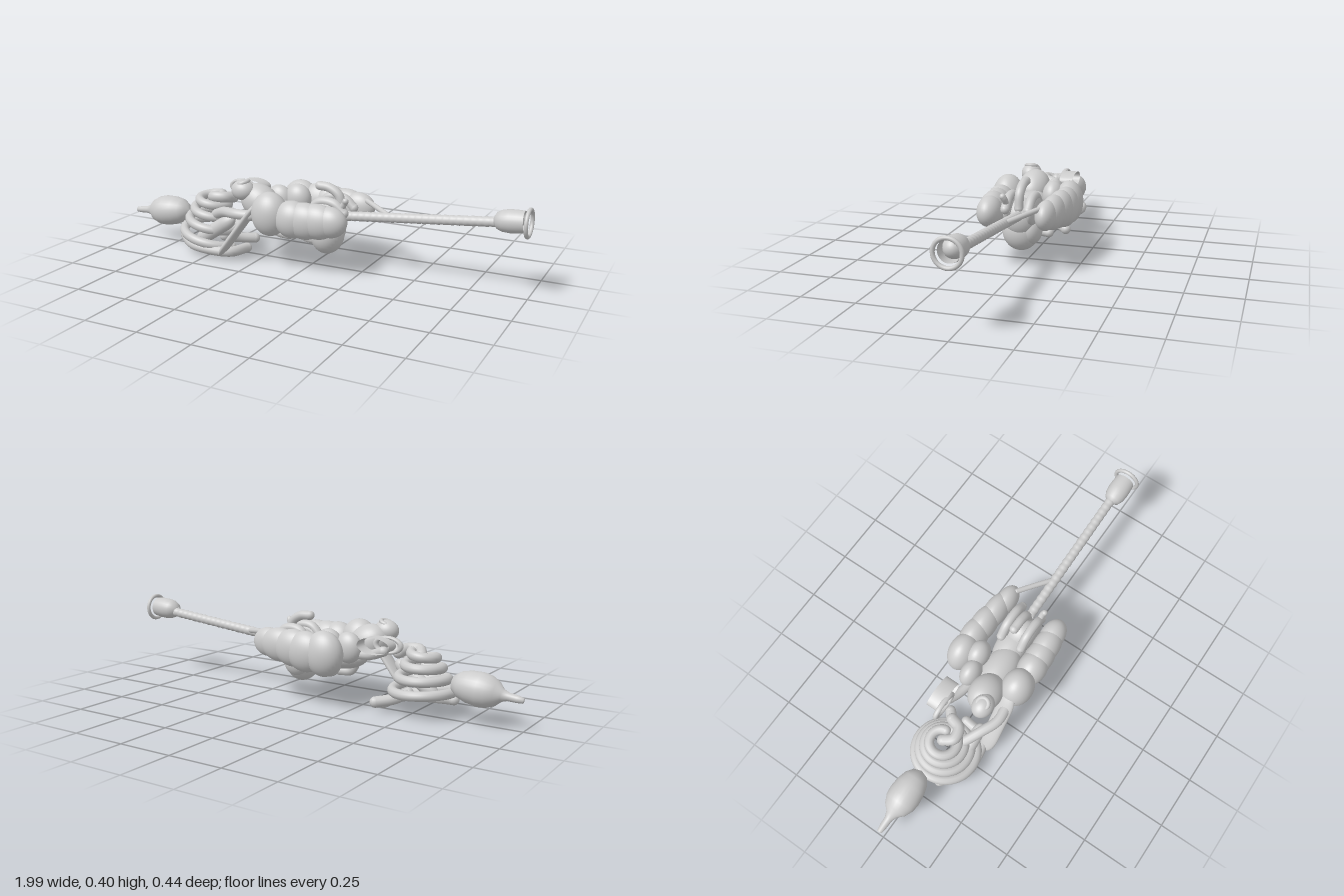
import * as THREE from 'three';

export function createModel() {
  const model = new THREE.Group();
  model.name = 'tangledCreature';
  const grey = new THREE.MeshStandardMaterial({ color: 0xcccccc, side: THREE.DoubleSide });
  grey.name = 'light grey';

  const V = (p) => new THREE.Vector3(...p);
  const add = (name, geometry, parent = model) => {
    const mesh = new THREE.Mesh(geometry, grey);
    mesh.name = name;
    parent.add(mesh);
    return mesh;
  };
  const blob = (name, pos, size, tilt = 0) => {
    const mesh = add(name, new THREE.SphereGeometry(1, 32, 20));
    mesh.position.set(...pos);
    mesh.scale.set(...size);
    mesh.rotation.z = tilt;
  };
  // Tube through points with rounded ends
  const limb = (name, points, r, segments = 40) => {
    const group = new THREE.Group();
    group.name = name;
    const curve = new THREE.CatmullRomCurve3(points.map(V));
    add(name + 'Tube', new THREE.TubeGeometry(curve, segments, r, 12), group);
    for (const p of [points[0], points[points.length - 1]])
      add(name + 'End', new THREE.SphereGeometry(r, 12, 10), group).position.set(...p);
    model.add(group);
  };
  // Lathe whose axis runs from a towards b; profile is [radius, distance]
  const turned = (name, profile, a, b) => {
    const mesh = add(name, new THREE.LatheGeometry(profile.map((p) => new THREE.Vector2(...p)), 28));
    mesh.position.set(...a);
    mesh.quaternion.setFromUnitVectors(new THREE.Vector3(0, 1, 0), V(b).sub(V(a)).normalize());
  };
  // Stretched capsule lying in a plane of constant z
  const paddle = (name, a, b, thick, wide) => {
    const dir = V(b).sub(V(a));
    const mesh = add(name, new THREE.CapsuleGeometry(1, 2, 8, 20));
    mesh.position.copy(V(a).add(V(b)).multiplyScalar(0.5));
    mesh.scale.set(thick, dir.length() / 4, wide);
    mesh.rotation.z = Math.atan2(-dir.x, dir.y);
  };

  // Long rod with faint ridges
  const rod = [];
  for (let i = 0; i <= 90; i++) rod.push([0.0215 + 0.0012 * Math.sin(i * 1.6), i * 0.0077]);
  turned('rod', rod, [0.17, 0.253, -0.005], [0.86, 0.32, -0.005]);

  // Cup, ball and ring at the rod tip
  turned('tipCup', [[0.018, 0], [0.036, 0.012], [0.046, 0.035], [0.05, 0.065], [0.049, 0.1], [0.046, 0.128]],
    [0.842, 0.327, 0], [0.98, 0.337, 0]);
  blob('tipBall', [0.91, 0.335, 0], [0.055, 0.044, 0.044]);
  const ring = add('tipRing', new THREE.TorusGeometry(0.057, 0.009, 12, 40));
  ring.position.set(0.985, 0.333, 0);
  ring.rotation.y = Math.PI / 2;

  // Pear-shaped bulb with a thin tail
  turned('tailBulb', [[0, 0], [0.012, 0.004], [0.016, 0.03], [0.018, 0.07], [0.028, 0.095], [0.053, 0.12], [0.069, 0.155],
    [0.074, 0.19], [0.069, 0.24], [0.057, 0.28], [0.035, 0.31], [0, 0.322]], [-1, 0.133, -0.003], [-0.68, 0.167, -0.003]);

  // Cone-shaped coil, narrowing as it rises
  const coil = [];
  for (let i = 0; i <= 70; i++) {
    const t = i / 70;
    const a = 0.4 + t * 7.8 * Math.PI;
    const r = 0.148 - 0.1 * t;
    coil.push([-0.535 + r * Math.cos(a), 0.063 + 0.212 * t ** 0.85 - 0.02 * (1 - t) * Math.cos(a), 0.01 + r * Math.sin(a)]);
  }
  limb('coil', coil, 0.022, 320);
  limb('coilTop', [[-0.53, 0.26, 0.01], [-0.5, 0.275, 0.05], [-0.45, 0.275, 0.04], [-0.43, 0.265, -0.01]], 0.026);
  limb('coilTail', [[-0.66, 0.07, 0.07], [-0.58, 0.05, 0.13], [-0.47, 0.04, 0.14], [-0.38, 0.034, 0.11], [-0.355, 0.026, 0.0]], 0.024);
  limb('innerLoop', [[-0.36, 0.05, -0.085], [-0.42, 0.06, -0.03], [-0.46, 0.08, 0.03]], 0.025);

  // Flat paddles crossing the coil
  paddle('longPaddle', [-0.42, 0.02, 0.145], [-0.2, 0.31, 0.145], 0.017, 0.04);
  paddle('shortPaddle', [-0.57, 0.06, 0.1], [-0.36, 0.2, 0.1], 0.034, 0.03);

  // Paired arms: a round shoulder running into a smoother forearm
  const chain = (name, lobes) => lobes.forEach(([x, y, z, rx, ry, rz], i) => blob(name + i, [x, y, z], [rx, ry, rz]));
  chain('frontArm', [[-0.145, 0.26, 0.143, 0.088, 0.102, 0.073], [-0.03, 0.25, 0.145, 0.085, 0.086, 0.067],
    [0.03, 0.25, 0.143, 0.1, 0.084, 0.064], [0.09, 0.254, 0.14, 0.1, 0.08, 0.061], [0.15, 0.258, 0.135, 0.08, 0.07, 0.056]]);
  chain('backArm', [[-0.14, 0.25, -0.155, 0.092, 0.102, 0.066], [-0.05, 0.25, -0.16, 0.1, 0.092, 0.061],
    [0.02, 0.258, -0.154, 0.1, 0.085, 0.058], [0.1, 0.262, -0.145, 0.1, 0.077, 0.053], [0.17, 0.265, -0.132, 0.08, 0.067, 0.047]]);
  chain('innerLobe', [[-0.21, 0.27, -0.065, 0.065, 0.07, 0.045], [-0.12, 0.28, -0.085, 0.065, 0.07, 0.05]]);

  // Core body and hanging belly
  blob('core', [-0.12, 0.22, 0.02], [0.14, 0.07, 0.075]);
  blob('waist', [0.02, 0.215, 0], [0.13, 0.06, 0.07]);
  blob('upperBelly', [0.09, 0.225, 0.005], [0.08, 0.09, 0.078]);
  blob('belly', [0.08, 0.16, 0.01], [0.076, 0.09, 0.085]);
  blob('bellySide', [0.08, 0.17, -0.04], [0.065, 0.07, 0.048]);
  for (const [x, z] of [[-0.2, 0.03], [-0.14, -0.03], [-0.05, 0.04]])
    limb('underFinger', [[x, 0.2, z], [x + 0.03, 0.145, z], [x + 0.09, 0.135, z]], 0.022, 20);

  // Head with an open mouth
  blob('neck', [-0.25, 0.28, 0.045], [0.1, 0.08, 0.075], -0.5);
  blob('head', [-0.32, 0.335, 0.08], [0.058, 0.048, 0.048]);
  const mouth = add('mouthRim', new THREE.TorusGeometry(0.025, 0.01, 10, 24));
  mouth.position.set(-0.32, 0.37, 0.08);
  mouth.rotation.set(Math.PI / 2, 0.35, 0);
  limb('cheekStrand', [[-0.47, 0.2, 0.08], [-0.4, 0.23, 0.12], [-0.32, 0.24, 0.155], [-0.24, 0.24, 0.15]], 0.024);

  // Sideways open cup behind the head
  const cup = add('openCup', new THREE.CylinderGeometry(0.06, 0.06, 0.065, 32, 1, true));
  cup.position.set(-0.37, 0.305, -0.1);
  cup.scale.set(1.3, 1, 0.6);
  cup.rotation.x = Math.PI / 2;
  const cupRim = add('cupRim', new THREE.TorusGeometry(0.055, 0.012, 10, 32));
  cupRim.position.set(-0.41, 0.305, -0.068);
  cupRim.scale.set(1.1, 0.6, 1);
  limb('cupArm', [[-0.4, 0.28, -0.09], [-0.32, 0.25, -0.06], [-0.22, 0.24, -0.04]], 0.022);

  // Hooked finger over the back, rounded flanks and side strut
  limb('topHook', [[0.035, 0.38, 0], [0.085, 0.375, 0], [0.13, 0.345, 0], [0.145, 0.28, 0]], 0.021);
  for (const z of [-0.053, 0.053]) {
    blob('flank', [0.09, 0.265, z], [0.09, 0.07, 0.028]);
    limb('sideFinger', [[0.01, 0.27, z], [0.06, 0.32, z], [0.13, 0.32, z], [0.18, 0.28, z]], 0.021);
  }
  limb('smallHook', [[0.15, 0.28, 0.05], [0.185, 0.33, 0.055], [0.19, 0.34, 0.06]], 0.014, 20);
  limb('strut', [[0.22, 0.303, -0.112], [0.295, 0.29, -0.063], [0.37, 0.276, -0.012]], 0.012, 20);

  return model;
}
